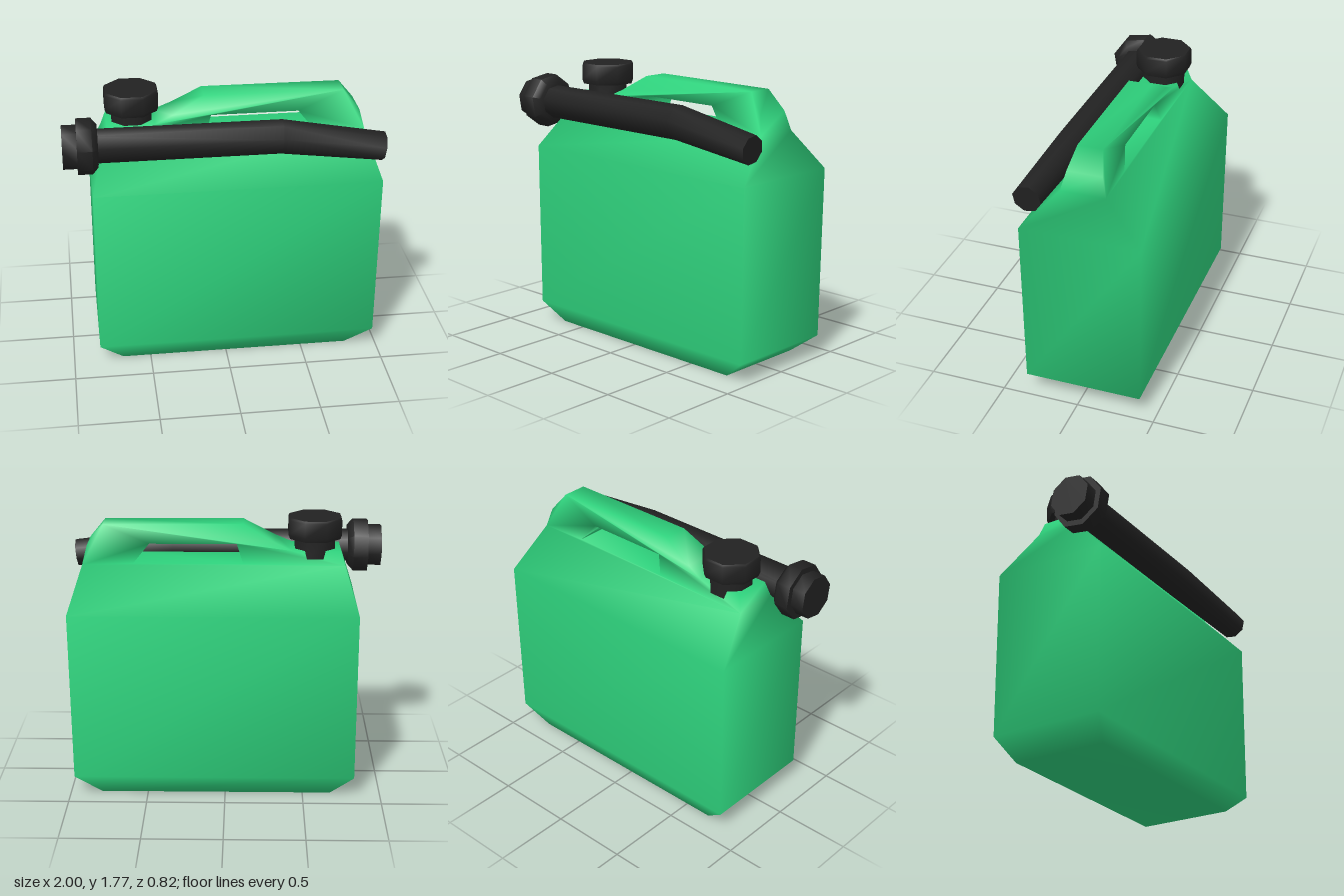
import * as THREE from 'three';
import { mergeGeometries, mergeVertices, toCreasedNormals } from 'three/addons/utils/BufferGeometryUtils.js';

// Skin a list of equal-length rings and cap both ends
function loft(rings) {
  const n = rings[0].length, index = [];
  for (let r = 0; r < rings.length - 1; r++) {
    for (let i = 0; i < n; i++) {
      const a = r * n + i, b = r * n + (i + 1) % n;
      index.push(a, b, b + n, a, b + n, a + n);
    }
  }
  const top = (rings.length - 1) * n;
  for (let i = 1; i < n - 1; i++) {
    index.push(0, i + 1, i, top, top + i, top + i + 1);
  }
  const g = new THREE.BufferGeometry();
  g.setAttribute('position', new THREE.Float32BufferAttribute(rings.flat(2), 3));
  g.setIndex(index);
  return g;
}

// Octagonal ring around a vertical axis, with flats facing the sides
const ringY = (y, r) => Array.from({ length: 8 }, (_, i) => {
  const a = (i + 0.5) * Math.PI / 4;
  return [-0.56 + r * Math.cos(a), y, -0.035 - r * Math.sin(a)];
});

// Octagonal ring across the spout; lean tilts the ring with the bend
const ringX = (x, y, z, r, lean = 0) => Array.from({ length: 8 }, (_, i) => {
  const a = i * Math.PI / 4 - 0.23;
  return [x + lean * r * Math.cos(a), y + r * Math.cos(a), z + r * Math.sin(a)];
});

// Tank: rectangular sections [y, x0, x1, z0, z1]
function tankGeometry() {
  return loft([
    [0, -0.68, 0.8, -0.34, 0.28],
    [0.13, -0.83, 0.97, -0.4, 0.35],
    [1.22, -0.83, 0.98, -0.41, 0.355],
    [1.48, -0.75, 0.9, -0.17, 0.115],
  ].map(([y, x0, x1, z0, z1]) => [[x1, y, z1], [x1, y, z0], [x0, y, z0], [x0, y, z1]]));
}

// Grip ridge: side profile with a hand hole, narrowing towards the top
function gripGeometry() {
  const points = list => list.map(p => new THREE.Vector2(...p));
  const shape = new THREE.Shape(points([
    [-0.75, 1.48], [0.9, 1.48], [0.87, 1.6], [0.77, 1.725],
    [-0.11, 1.73], [-0.31, 1.62], [-0.42, 1.57], [-0.72, 1.57],
  ]));
  shape.holes.push(new THREE.Path(points([[-0.11, 1.49], [-0.07, 1.61], [0.48, 1.61], [0.58, 1.49]])));
  const g = new THREE.ExtrudeGeometry(shape, { depth: 1, bevelEnabled: false });
  const p = g.attributes.position;
  for (let i = 0; i < p.count; i++) {
    const half = THREE.MathUtils.mapLinear(p.getY(i), 1.48, 1.73, 0.1425, 0.078);
    p.setZ(i, -0.0275 + (p.getZ(i) * 2 - 1) * half);
  }
  g.deleteAttribute('uv');
  g.deleteAttribute('normal');
  return g;
}

export function createModel() {
  const model = new THREE.Group();
  model.name = 'fuelCan';
  const green = new THREE.MeshStandardMaterial({ color: 0x2ed17c });
  green.name = 'greenPlastic';
  const black = new THREE.MeshStandardMaterial({ color: 0x222222 });
  black.name = 'blackPlastic';

  const add = (name, geometry, material) => {
    const mesh = new THREE.Mesh(geometry, material);
    mesh.name = name;
    model.add(mesh);
  };
  const addBlack = (name, rings) => add(name, toCreasedNormals(loft(rings), 0.9), black);

  // Smoothly shaded body with its carrying handle
  const body = mergeVertices(mergeGeometries([tankGeometry().toNonIndexed(), gripGeometry()]), 1e-3);
  body.computeVertexNormals();
  add('bodyAndHandle', body, green);

  // Filler neck and screw cap
  addBlack('fillerNeck', [ringY(1.5, 0.135), ringY(1.66, 0.135)]);
  addBlack('fillerCap', [ringY(1.635, 0.17), ringY(1.66, 0.18), ringY(1.755, 0.18), ringY(1.77, 0.172)]);

  // Bent pouring spout with threaded end and collar
  addBlack('spoutTube', [
    ringX(-0.85, 1.51, 0.235, 0.108),
    ringX(0.35, 1.51, 0.235, 0.108, 0.06),
    ringX(0.985, 1.435, 0.29, 0.09, 0.12),
  ]);
  addBlack('spoutCollar', [
    ringX(-0.912, 1.512, 0.235, 0.176),
    ringX(-0.82, 1.512, 0.235, 0.176),
    ringX(-0.785, 1.512, 0.235, 0.135),
  ]);
  addBlack('spoutEnd', [ringX(-1, 1.512, 0.235, 0.138), ringX(-0.9, 1.512, 0.235, 0.138)]);
  return model;
}
